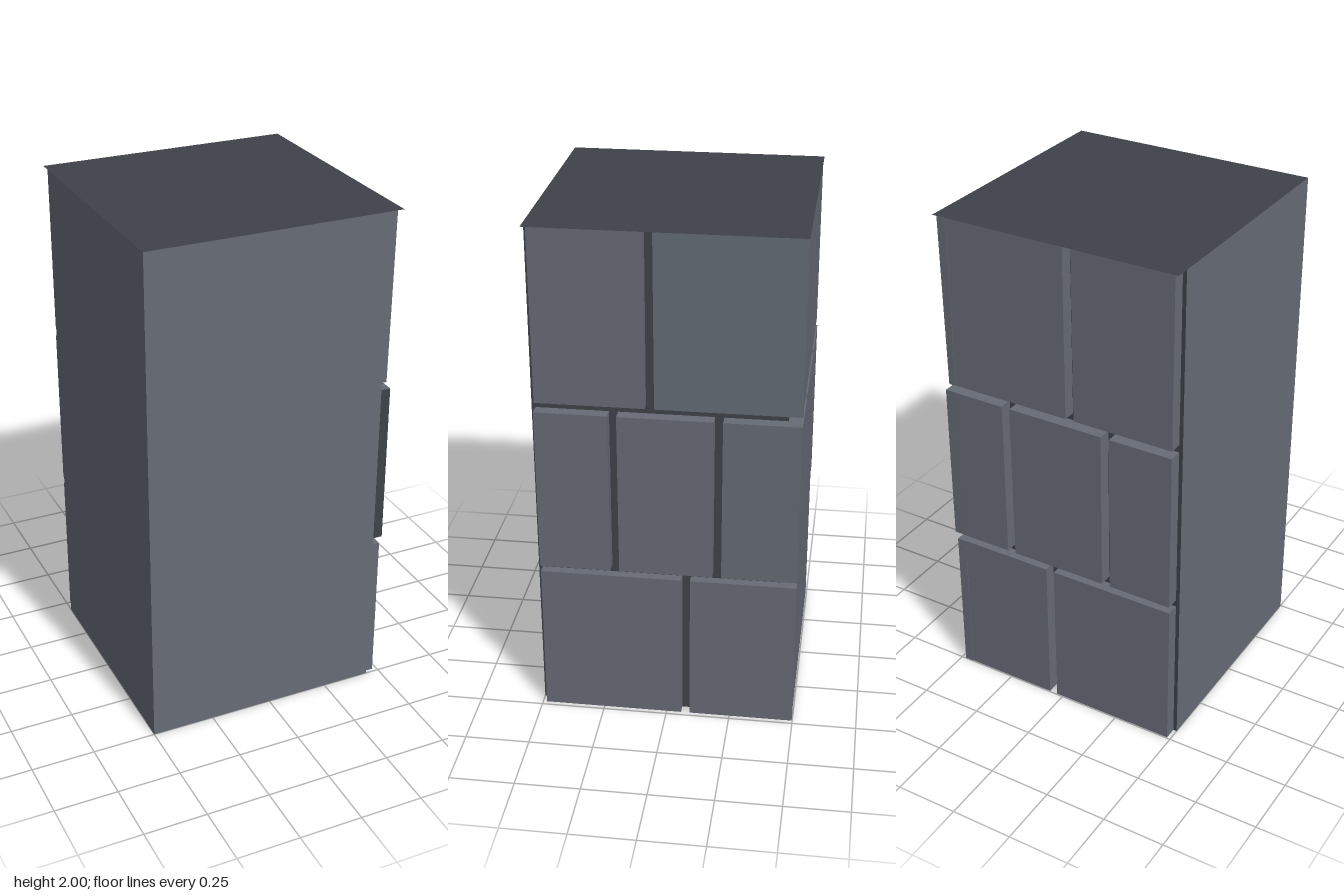
import * as THREE from 'three';

const mat = (name, color, side = THREE.FrontSide) => {
  const m = new THREE.MeshStandardMaterial({ color, side });
  m.name = name;
  return m;
};

export function createModel() {
  const model = new THREE.Group();
  model.name = 'stonePillarCorner';
  const stone = mat('greyStone', 0x676b76, THREE.DoubleSide);
  const cool = mat('coolGreyStone', 0x656c75);
  const dark = mat('darkMortar', 0x3e4349, THREE.DoubleSide);

  const CORE = 0.445; // depth of the mortar faces behind the slabs

  const add = (name, geometry, material) => {
    const mesh = new THREE.Mesh(geometry, material);
    mesh.name = name;
    model.add(mesh);
    return mesh;
  };

  // Open-bottomed shell: two plain walls, two mortar walls and a thin cap
  const w = 0.5 + CORE, mid = (CORE - 0.5) / 2;
  add('frontWall', new THREE.PlaneGeometry(w, 2), stone).position.set(mid, 1, 0.5);
  const side = add('plainSideWall', new THREE.PlaneGeometry(w, 2), stone);
  side.rotation.y = -Math.PI / 2;
  side.position.set(-0.5, 1, -mid);
  const mortarSide = add('mortarSideWall', new THREE.PlaneGeometry(w, 2), dark);
  mortarSide.rotation.y = Math.PI / 2;
  mortarSide.position.set(CORE, 1, -mid);
  const mortarBack = add('mortarBackWall', new THREE.PlaneGeometry(w, 2), dark);
  mortarBack.rotation.y = Math.PI;
  mortarBack.position.set(mid, 1, -CORE);
  const cap = add('topCap', new THREE.PlaneGeometry(1, 1), dark);
  cap.rotation.x = -Math.PI / 2;
  cap.position.y = 2;

  // A slab between a and b along the wall, its outer face leaning from low to high
  function slab(name, onSide, a, b, y0, y1, low, high, material) {
    const g = onSide ? new THREE.BoxGeometry(1, 1, 1) : new THREE.BoxGeometry(1, 1, 1);
    const p = g.attributes.position;
    for (let i = 0; i < p.count; i++) {
      const top = p.getY(i) > 0;
      const y = top ? y1 : y0, out = top ? high : low;
      if (onSide) p.setXYZ(i, p.getX(i) > 0 ? out : CORE, y, p.getZ(i) > 0 ? b : a);
      else p.setXYZ(i, p.getX(i) > 0 ? b : a, y, p.getZ(i) > 0 ? -CORE : -out);
    }
    g.computeVertexNormals();
    add(name, g, material);
  }

  // Courses: height range, seam positions and outer depths on each wall
  const courses = [
    { y: [0, 0.61], side: [-0.075], back: [0.045], sideOut: [0.482, 0.482], backOut: [0.496, 0.496] },
    { y: [0.64, 1.29], side: [-0.195, 0.195], back: [-0.21, 0.22], sideOut: [0.492, 0.492], backOut: [0.499, 0.499] },
    { y: [1.32, 1.998], side: [0.058], back: [-0.06], sideOut: [0.474, 0.482], backOut: [0.496, 0.496] },
  ];
  const GAP = 0.017;
  courses.forEach((c, row) => {
    const runs = [
      { name: 'sideSlab', onSide: true, ends: [-0.498, ...c.side, 0.485], out: c.sideOut },
      { name: 'backSlab', onSide: false, ends: [-0.485, ...c.back, CORE], out: c.backOut },
    ];
    for (const { name, onSide, ends, out } of runs) {
      for (let i = 0; i + 1 < ends.length; i++) {
        const last = i + 2 === ends.length;
        const a = ends[i] + (i ? GAP : 0), b = ends[i + 1] - (last ? 0 : GAP);
        let material = onSide && i === 0 && row > 0 ? cool : stone;
        // the middle course shows a dark end beside the front wall
        if (onSide && last && row === 1) material = [stone, stone, stone, stone, dark, stone];
        slab(name, onSide, a, b, c.y[0], c.y[1], out[0], out[1], material);
      }
    }
  });
  return model;
}
